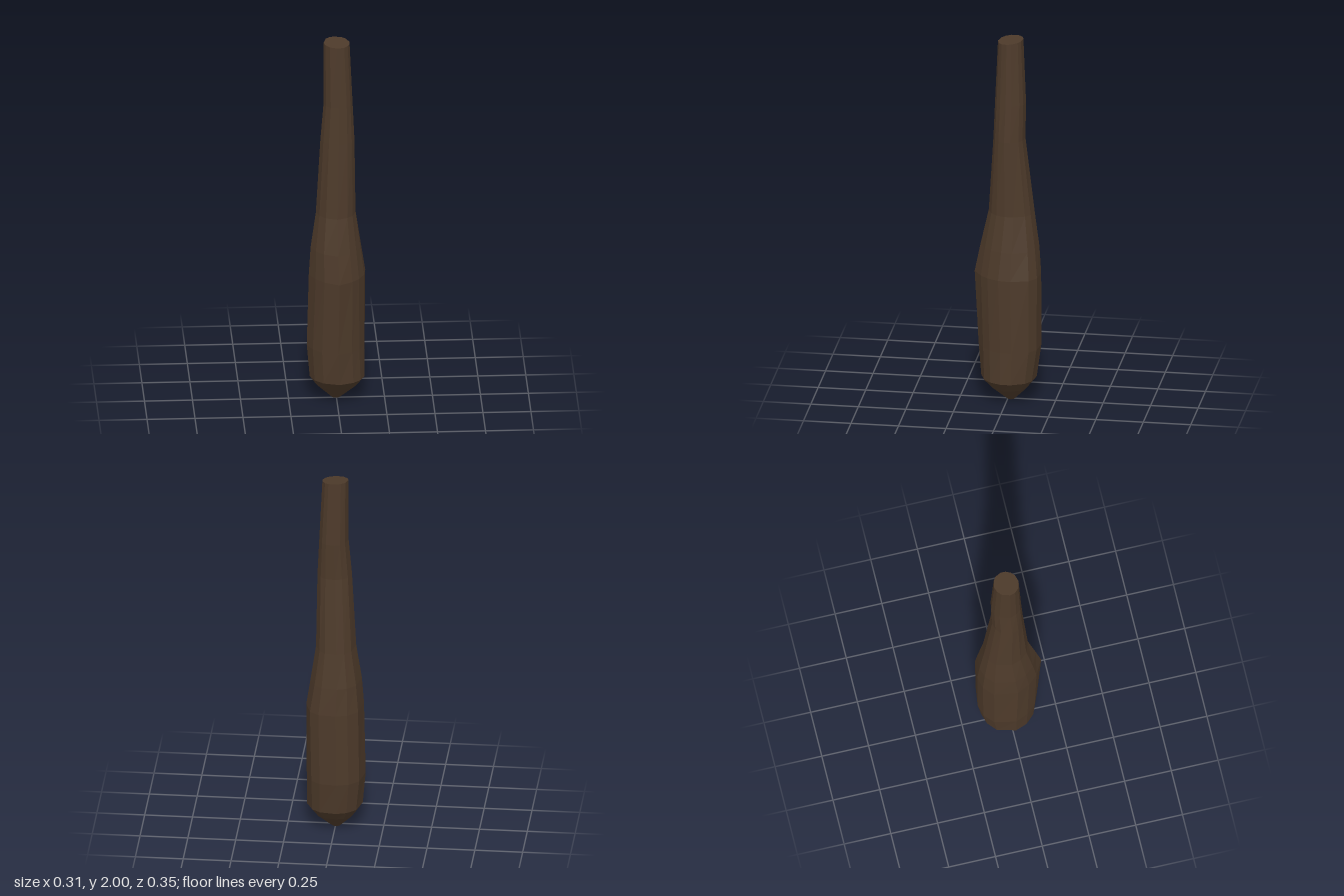
import * as THREE from 'three';

// Uneven bark outline (x, z), scaled to fit a unit box
const OUTLINE = [
  [-1, 0.08], [-0.87, -0.63], [-0.52, -0.91], [-0.12, -1], [0.49, -0.95], [0.81, -0.74],
  [1, -0.2], [0.94, 0.17], [0.74, 0.52], [0.49, 0.75], [0.03, 1], [-0.49, 0.75], [-0.78, 0.46],
];

// Cross-sections: y, x min, x max, z min, z max, roundness (0 = bark outline, 1 = ellipse)
const RINGS = [
  [0, -0.025, 0.02, -0.035, 0.005, 1],
  [0.075, -0.105, 0.11, -0.11, 0.095, 0.7],
  [0.125, -0.14, 0.15, -0.15, 0.14, 0.8],
  [0.3, -0.155, 0.15, -0.172, 0.155, 0.4],
  [0.7, -0.145, 0.152, -0.172, 0.175, 0],
  [0.85, -0.135, 0.13, -0.162, 0.145, 0.4],
  [1.04, -0.107, 0.102, -0.138, 0.102, 0.8],
  [1.45, -0.084, 0.096, -0.091, 0.076, 0.8],
  [1.65, -0.067, 0.086, -0.095, 0.067, 0.9],
  [1.99, -0.067, 0.07, -0.08, 0.053, 1],
];

function ringPoints([y, x0, x1, z0, z1, round], level) {
  const isTop = level === RINGS.length - 1;
  return OUTLINE.map(([u, v]) => {
    const len = Math.hypot(u, v);
    const a = THREE.MathUtils.lerp(u, u / len, round);
    const b = THREE.MathUtils.lerp(v, v / len, round);
    // The cut end is slightly slanted
    const tilt = isTop ? -0.003 * a - 0.007 * b : 0;
    return new THREE.Vector3(
      (x0 + x1) / 2 + a * (x1 - x0) / 2,
      y + tilt,
      (z0 + z1) / 2 + b * (z1 - z0) / 2,
    );
  });
}

function loft(rings) {
  const positions = [];
  const tri = (...pts) => pts.forEach((p) => positions.push(p.x, p.y, p.z));
  const n = OUTLINE.length;
  const centre = (ring) =>
    ring.reduce((sum, p) => sum.add(p), new THREE.Vector3()).divideScalar(n);
  const bottom = rings[0], top = rings[rings.length - 1];
  const bottomCentre = centre(bottom), topCentre = centre(top);

  for (let i = 0; i < n; i++) {
    const j = (i + 1) % n;
    for (let k = 0; k < rings.length - 1; k++) {
      const lower = rings[k], upper = rings[k + 1];
      tri(lower[j], lower[i], upper[i]);
      tri(lower[j], upper[i], upper[j]);
    }
    tri(bottomCentre, bottom[i], bottom[j]);
    tri(topCentre, top[j], top[i]);
  }
  const geometry = new THREE.BufferGeometry();
  geometry.setAttribute('position', new THREE.Float32BufferAttribute(positions, 3));
  geometry.computeVertexNormals();
  return geometry;
}

export function createModel() {
  const group = new THREE.Group();
  group.name = 'woodenClub';
  // One carved piece: blunt tip, swollen head and tapering handle
  const club = new THREE.Mesh(
    loft(RINGS.map(ringPoints)),
    new THREE.MeshStandardMaterial({ color: 0x4d3a2a, flatShading: true }),
  );
  club.name = 'clubBody';
  group.add(club);
  return group;
}
